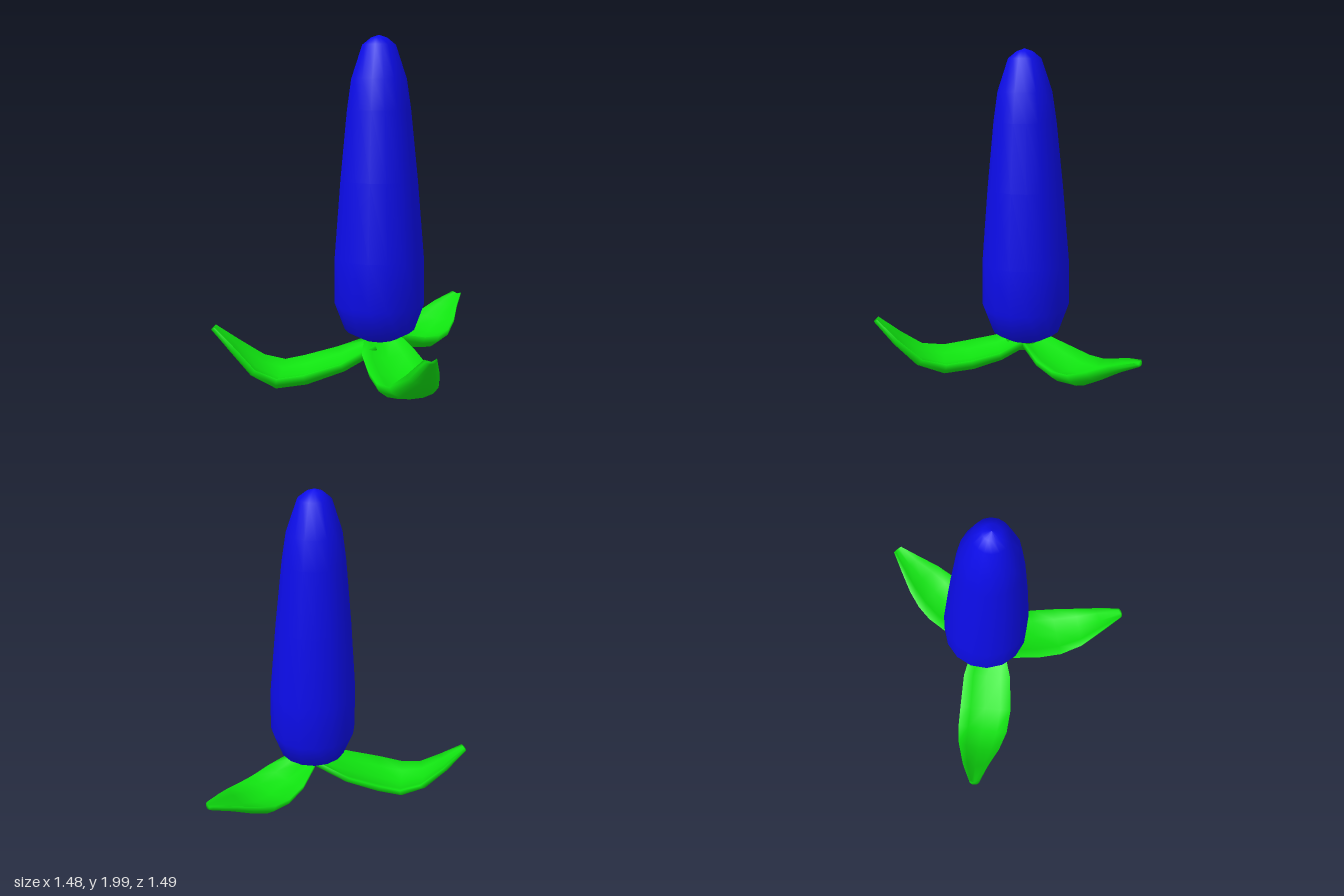
import * as THREE from 'three';

const blue = new THREE.MeshStandardMaterial({ color: 0x0c0ce8 });
const green = new THREE.MeshStandardMaterial({ color: 0x0fe30f });

// Closed cupped cross-section: x across the petal, y from keel (0) to rim (1)
const section = [
  [-1, 1], [-0.92, 0.55], [-0.65, 0.2], [-0.25, 0.02], [0.25, 0.02], [0.65, 0.2],
  [0.92, 0.55], [1, 1], [0.6, 0.68], [0, 0.48], [-0.6, 0.68],
];
// Half width and rim height at each station, base to tip
const widths = [0.1, 0.155, 0.168, 0.162, 0.135, 0.085, 0.032];
const rims = [0.07, 0.085, 0.1, 0.1, 0.075, 0.055, 0.03];

// Sweeps the cupped section along the keel points
function petal(name, keel) {
  const pts = keel.map((p) => new THREE.Vector3(...p));
  const n = section.length;
  const last = pts.length - 1;
  const pos = [];
  const index = [];
  pts.forEach((p, i) => {
    const tangent = pts[Math.min(i + 1, last)].clone().sub(pts[Math.max(i - 1, 0)]).normalize();
    const side = new THREE.Vector3().crossVectors(tangent, new THREE.Vector3(0, 1, 0)).normalize();
    const normal = new THREE.Vector3().crossVectors(side, tangent);
    for (const [u, h] of section) {
      const v = p.clone().addScaledVector(side, u * widths[i]).addScaledVector(normal, h * rims[i]);
      pos.push(v.x, v.y, v.z);
    }
  });
  for (let i = 0; i < last; i++) {
    for (let j = 0; j < n; j++) {
      const a = i * n + j;
      const b = i * n + ((j + 1) % n);
      index.push(a, b, a + n, b, b + n, a + n);
    }
  }
  // End caps, fanned from the middle of the inner face
  for (let j = 0; j < n - 1; j++) {
    const c = 9;
    const k = last * n;
    if (j === c || j + 1 === c) continue;
    index.push(c, j + 1, j, k + c, k + j, k + j + 1);
  }
  index.push(9, 0, 10, last * n + 9, last * n + 10, last * n);
  const geo = new THREE.BufferGeometry();
  geo.setAttribute('position', new THREE.Float32BufferAttribute(pos, 3));
  geo.setIndex(index);
  geo.computeVertexNormals();
  const mat = green.clone();
  mat.side = THREE.DoubleSide;
  const mesh = new THREE.Mesh(geo, mat);
  mesh.name = name;
  return mesh;
}

export function createModel() {
  const group = new THREE.Group();
  group.name = 'flowerBud';

  // Tapering bud
  const profile = [
    [0, 0.27], [0.11, 0.275], [0.205, 0.33], [0.263, 0.49], [0.259, 0.76], [0.222, 1.2],
    [0.182, 1.59], [0.157, 1.76], [0.095, 1.945], [0.045, 1.985], [0, 2],
  ].map(([r, y]) => new THREE.Vector2(r, y));
  const bud = new THREE.Mesh(new THREE.LatheGeometry(profile, 16), blue);
  bud.name = 'bud';
  bud.position.set(0.02, 0, 0.115);
  group.add(bud);

  // Three drooping petals with upturned tips
  group.add(
    petal('backPetal', [
      [0.025, 0.22, 0.06], [0.03, 0.155, -0.1], [0.035, 0.115, -0.25], [0.04, 0.13, -0.4],
      [0.04, 0.2, -0.52], [0.04, 0.27, -0.63], [0.045, 0.335, -0.75],
    ]),
    petal('rightPetal', [
      [0.03, 0.2, 0.14], [-0.12, 0.1, 0.27], [-0.28, 0.03, 0.41], [-0.42, 0.005, 0.51],
      [-0.55, 0.08, 0.59], [-0.65, 0.21, 0.66], [-0.73, 0.34, 0.73],
    ]),
    petal('leftPetal', [
      [0.02, 0.23, 0.11], [0.14, 0.16, 0.21], [0.28, 0.112, 0.32], [0.42, 0.095, 0.43],
      [0.55, 0.16, 0.53], [0.65, 0.29, 0.61], [0.73, 0.425, 0.68],
    ]),
  );
  return group;
}
